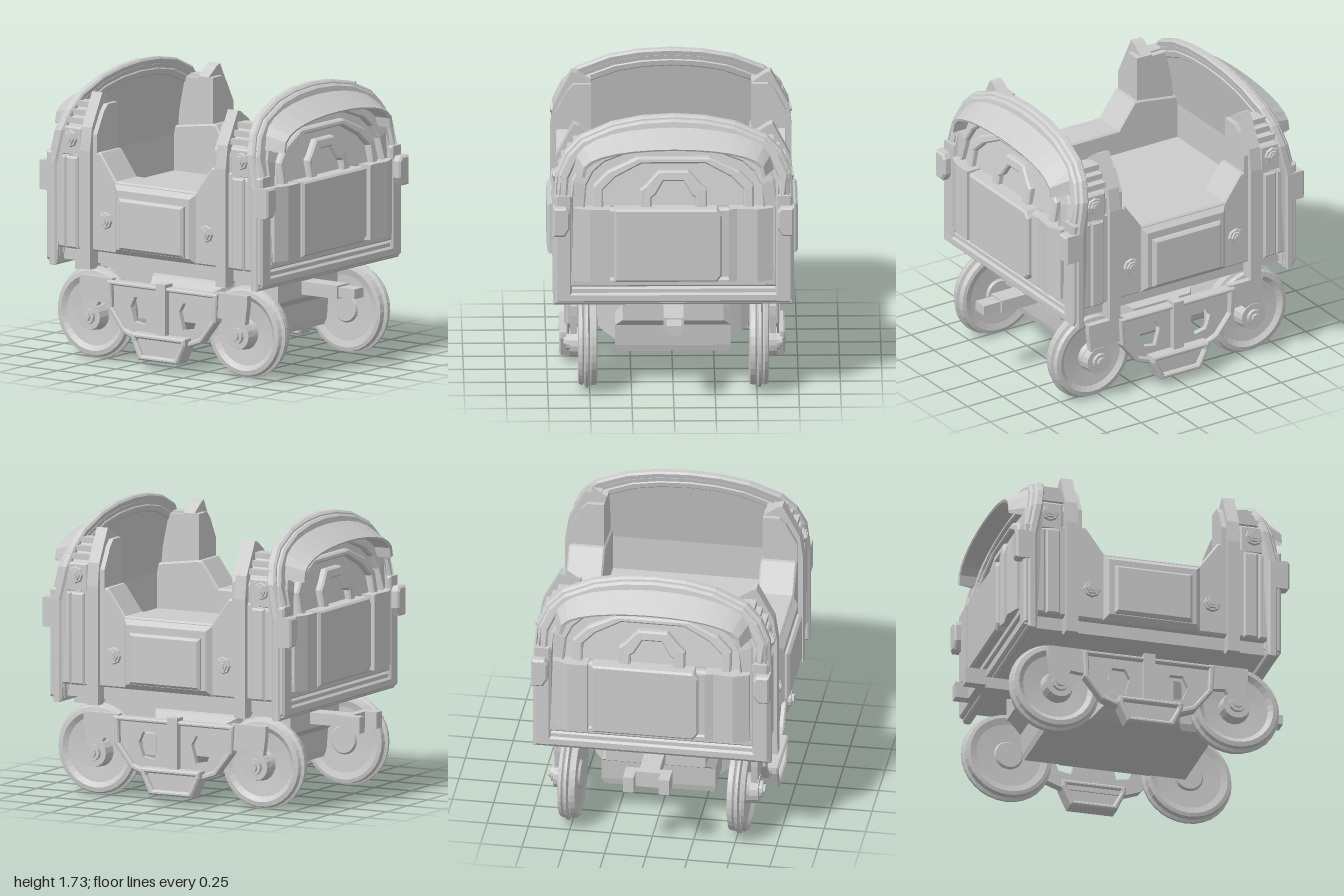
import * as THREE from 'three';

const mat = new THREE.MeshStandardMaterial({ color: 0xcccccc, flatShading: true });
const thin = new THREE.MeshStandardMaterial({ color: 0xcccccc, flatShading: true, side: THREE.DoubleSide });
const smooth = new THREE.MeshStandardMaterial({ color: 0xcccccc });

const mesh = (parent, name, geo, m = mat) => {
  const o = new THREE.Mesh(geo, m);
  o.name = name;
  parent.add(o);
  return o;
};
const box = (p, name, x0, x1, y0, y1, z0, z1) =>
  mesh(p, name, new THREE.BoxGeometry(x1 - x0, y1 - y0, z1 - z0).translate((x0 + x1) / 2, (y0 + y1) / 2, (z0 + z1) / 2));
const vecs = (pts) => pts.map(([a, b]) => new THREE.Vector2(a, b));
// Extrude an outline from a to b, with a small bevel kept inside those limits
function extrude(pts, a, b, holes = [], bevel = 0) {
  const s = new THREE.Shape(vecs(pts));
  s.holes = holes.map((h) => new THREE.Path(vecs(h)));
  return new THREE.ExtrudeGeometry(s, {
    depth: b - a - bevel, bevelEnabled: bevel > 0, bevelThickness: bevel, bevelSize: bevel, bevelOffset: -bevel, bevelSegments: 1,
  }).translate(0, 0, a);
}
// Outline in (z, y), from x0 to x1, chamfered on the outer face
const side = (p, name, pts, x0, x1, holes = [], bevel = 0) =>
  mesh(p, name, extrude(pts.map(([z, y]) => [-z, y]), x0, x1, holes.map((h) => h.map(([z, y]) => [-z, y])), bevel).rotateY(Math.PI / 2));
// Outline in (x, z), from y0 to y1
const plan = (p, name, pts, y0, y1) =>
  mesh(p, name, extrude(pts.map(([x, z]) => [x, -z]), y0, y1).rotateX(-Math.PI / 2));
const mirror = (pts) => [...pts, ...pts.filter(([x]) => x !== 0).map(([x, y]) => [-x, y]).reverse()];
const rect = (a, b, c, d) => [[a, c], [b, c], [b, d], [a, d]];

// The end walls lean inwards above the belt
const BELT = 1.2;
const leanZ = (y) => Math.max(0, y - BELT) * 0.21;
function lean(geo, s = 1) {
  const p = geo.attributes.position;
  for (let i = 0; i < p.count; i++) p.setZ(i, p.getZ(i) - s * leanZ(p.getY(i)));
  geo.computeVertexNormals();
  return geo;
}
const ARCH = [[0.72, BELT], [0.705, 1.4], [0.65, 1.52], [0.56, 1.61], [0.37, 1.69], [0.19, 1.724], [0, 1.735]];
const arch = (i, base) => mirror([[0.72, base], ...ARCH].map(([x, y], n) =>
  [x * (0.72 - i) / 0.72, n ? BELT + (y - BELT) * (0.535 - i) / 0.535 : base]));

// Open surface through rows of equal length
function loft(rows) {
  const n = rows[0].length, idx = [];
  for (let r = 0; r < rows.length - 1; r++)
    for (let c = 0; c < n - 1; c++) {
      const a = r * n + c, b = a + n;
      idx.push(a, b, a + 1, a + 1, b, b + 1);
    }
  const g = new THREE.BufferGeometry();
  g.setAttribute('position', new THREE.Float32BufferAttribute(rows.flat(2), 3));
  g.setIndex(idx);
  g.computeVertexNormals();
  return g;
}

function endWall() {
  const g = new THREE.Group();
  g.name = 'endWall';
  box(g, 'lowerWall', -0.68, 0.68, 0.6, BELT, 0.715, 0.755);
  mesh(g, 'upperWall', lean(extrude(arch(0.04, BELT).slice(1, -1), 0.715, 0.755)));
  // Stepped rim
  [[0, 0.06, 0.73, 0.775], [0.02, 0.08, 0.73, 0.8], [0.06, 0.115, 0.72, 0.785]].forEach(([o, i, z0, z1]) =>
    mesh(g, 'rim', lean(extrude(arch(o, 0.58 + o), z0, z1, [arch(i, 0.58 + i)], 0.012))));
  // Projecting hood over the arched panel
  const row = (w, y0, h, z) => Array.from({ length: 15 }, (_, k) => {
    const a = Math.PI * k / 14, y = y0 + h * Math.pow(Math.max(0, Math.sin(a)), 0.7);
    return [w * Math.cos(a), y, z ?? 0.785 - leanZ(y)];
  });
  mesh(g, 'hood', loft([row(0.6, 1.42, 0.26), row(0.55, 1.41, 0.17, 0.85), row(0.53, 1.4, 0.17, 0.845), row(0.53, 1.4, 0.17, 0.69)]), thin);
  // Concentric arched frames
  const frame = (w, top, base) => mirror([[w, base], [w, top - 0.2 * w - 0.07], [w * 0.82, top - 0.08], [w * 0.45, top], [0, top]]);
  const framed = (name, outer, hole) => mesh(g, name, lean(extrude(outer, 0.74, 0.795, [hole], 0.01)));
  framed('hoodFrame', arch(0.1, 0.7), arch(0.19, 0.75));
  framed('outerArchFrame', frame(0.48, 1.49, BELT - 0.04), frame(0.42, 1.455, BELT - 0.01));
  framed('innerArchFrame', frame(0.2, 1.41, BELT - 0.04), frame(0.13, 1.35, BELT - 0.01));
  // Belt panels
  mesh(g, 'centrePanel', extrude([[-0.355, 0.745], [0.26, 0.745], [0.29, 0.785], [0.29, 1.16], [0.26, 1.2], [-0.355, 1.2]], 0.74, 0.85, [], 0.012));
  plan(g, 'sidePanel', [[-0.595, 0.74], [-0.38, 0.74], [-0.38, 0.845], [-0.5, 0.845], [-0.595, 0.81]], 0.745, 1.2);
  plan(g, 'sidePanel', [[0.33, 0.74], [0.595, 0.74], [0.595, 0.81], [0.5, 0.845], [0.38, 0.83], [0.33, 0.845]], 0.745, 1.2);
  box(g, 'panelSeam', -0.4, 0.35, 0.77, 1.18, 0.74, 0.815);
  // Corner clasps
  [1, -1].forEach((s) => {
    const pts = [[0.62, 1.08], [0.65, 1.03], [0.72, 1.03], [0.72, 1.21], [0.64, 1.21], [0.62, 1.18]].map(([x, y]) => [s * x, y]);
    mesh(g, 'cornerClasp', extrude(pts, 0.76, 0.85, [], 0.012));
  });
  return g;
}

function bodySide() {
  const g = new THREE.Group();
  g.name = 'bodySide';
  side(g, 'sideWall', mirror([[0.74, 0.69], [0.74, 1.25], [0.45, 1.29], [0.41, 1.29], [0.295, 1.13]]), 0.48, 0.69, [], 0.01);
  side(g, 'bulge', rect(-0.305, 0.305, 0.69, 1.12), 0.6, 0.72, [], 0.035);
  side(g, 'bulgePanel', rect(-0.24, 0.24, 0.73, 1.04), 0.7, 0.75, [], 0.015);
  const corner = [[0.48, 0.7], [0.68, 0.7], [0.68, 1.38], [0.64, 1.46], [0.57, 1.56], [0.48, 1.56]];
  const lining = [[0.48, 0.7], [0.69, 0.7], [0.69, 1.4], [0.62, 1.53], [0.58, 1.57], [0.48, 1.57]];
  const post = [[0.48, 0.7], [0.66, 0.58], [0.72, 0.58], [0.72, 1.3], [0.7, 1.44], [0.595, 1.64], [0.565, 1.63], [0.48, 1.57]];
  [1, -1].forEach((s) => {
    const slab = (pts, a, b) => extrude(pts, Math.min(s * a, s * b), Math.max(s * a, s * b));
    mesh(g, 'post', slab(post, 0.465, 0.54));
    mesh(g, 'postLining', slab(lining, 0.435, 0.5));
    mesh(g, 'cornerBlock', lean(slab(corner, 0.54, 0.74), s));
    const strip = (name, a, b, y0, y1, x1) =>
      side(g, name, rect(Math.min(s * a, s * b), Math.max(s * a, s * b), y0, y1), 0.62, x1, [], 0.012);
    strip('uprightPanel', 0.57, 0.66, 0.69, 1.25, 0.705);
    strip('uprightPanel', 0.66, 0.725, 0.69, 1.25, 0.7);
    strip('cornerUpright', 0.72, 0.8, 0.61, 1.27, 0.71);
    side(g, 'upperPanel', [[s * 0.55, 1.25], [s * 0.765, 1.25], [s * 0.73, 1.43], [s * 0.55, 1.43]], 0.6, 0.69, [], 0.012);
    for (let k = 0; k < 3; k++) {
      const bar = box(g, 'louvre', 0.52, 0.67 - k * 0.035, 1.445 + k * 0.045, 1.48 + k * 0.045, -0.08, 0.08);
      bar.position.z = s * (0.62 - k * 0.01);
    }
    // Hexagonal bolts
    [[0.373, 0.885, 0.685], [0.633, 1.355, 0.685]].forEach(([z, y, x]) => {
      [[0.056, 0.018, 8], [0.042, 0.03, 6], [0.025, 0.038, 8]].forEach(([r, h, n]) =>
        mesh(g, 'bolt', new THREE.CylinderGeometry(r * 0.85, r, h, n).rotateZ(-Math.PI / 2).translate(x + h / 2, y, s * z)));
    });
  });
  return g;
}

function runningGear() {
  const g = new THREE.Group();
  g.name = 'runningGear';
  const tread = vecs([[0, 0.455], [0.08, 0.455], [0.09, 0.47], [0.2, 0.465], [0.24, 0.455], [0.262, 0.46], [0.268, 0.49], [0.255, 0.5],
    [0.28, 0.51], [0.28, 0.525], [0.255, 0.535], [0.268, 0.545], [0.258, 0.565], [0.23, 0.57], [0.2, 0.55], [0.09, 0.54], [0.08, 0.57], [0, 0.57]]);
  [1, -1].forEach((s) => {
    const w = new THREE.Group();
    w.name = 'wheel';
    w.position.set(0, 0.285, s * 0.56);
    g.add(w);
    // Lathe with each profile step kept sharp
    const lathe = new THREE.LatheGeometry(tread, 32).toNonIndexed();
    lathe.computeVertexNormals();
    mesh(w, 'wheelDisc', lathe.rotateZ(-Math.PI / 2), smooth);
    [[0.095, 0.62, 16], [0.055, 0.64, 12], [0.033, 0.655, 8]].forEach(([r, x, n]) =>
      mesh(w, 'hub', new THREE.CylinderGeometry(r * 0.9, r, x - 0.54, n).rotateZ(-Math.PI / 2).translate((x + 0.54) / 2, -0.01, s * -0.01)));
    side(g, 'hanger', [[s * 0.38, 0.52], [s * 0.62, 0.52], [s * 0.62, 0.46], [s * 0.6, 0.3], [s * 0.52, 0.3], [s * 0.48, 0.37], [s * 0.38, 0.36]], 0.575, 0.615);
  });
  // Side frame with a raised border and pierced plate
  const outline = mirror([[0.41, 0.51], [0.4, 0.34], [0.29, 0.2], [0.18, 0.16]]);
  const inner = mirror([[0.375, 0.485], [0.37, 0.35], [0.275, 0.23], [0.17, 0.19]]);
  const hex = (s) => [[0.11, 0.37], [0.14, 0.425], [0.22, 0.425], [0.25, 0.36], [0.22, 0.275], [0.14, 0.26]].map(([z, y]) => [s * z, y]);
  side(g, 'sideFramePlate', outline, 0.57, 0.605, [hex(1), hex(-1)]);
  side(g, 'sideFrameBorder', outline, 0.59, 0.635, [inner], 0.008);
  box(g, 'centreStrut', 0.57, 0.645, 0.16, 0.53, -0.035, 0.035);
  const step = mirror([[0.2, 0.22], [0.2, 0.18], [0.145, 0.06]]);
  side(g, 'stepBorder', step, 0.57, 0.675, [mirror([[0.165, 0.19], [0.165, 0.175], [0.12, 0.09]])], 0.01);
  side(g, 'stepPlate', step.map(([z, y]) => [z * 0.95, 0.14 + (y - 0.14) * 0.95]), 0.58, 0.645);
  // Tapered cheek on the side of the tank
  const section = (x, y0, y1, d) => [[x, y0, d], [x, y0, -d], [x, y1, -d], [x, y1, d], [x, y0, d]];
  mesh(g, 'tankCheek', loft([section(0.29, 0.2, 0.52, 0.3), section(0.34, 0.2, 0.51, 0.28), section(0.41, 0.24, 0.48, 0.24), section(0.46, 0.28, 0.46, 0.2), section(0.46, 0.37, 0.37, 0)]), thin);
  return g;
}

export function createModel() {
  const model = new THREE.Group();
  model.name = 'railCart';
  // Both ends and both sides repeat by a half turn
  [endWall(), bodySide(), runningGear()].forEach((part) => {
    const other = part.clone();
    other.rotation.y = Math.PI;
    model.add(part, other);
  });
  // Floor and undercarriage
  box(model, 'floor', -0.5, 0.5, 0.62, 0.98, -0.72, 0.72);
  box(model, 'underTray', -0.64, 0.64, 0.61, 0.7, -0.74, 0.74);
  box(model, 'chassisBeam', -0.3, 0.3, 0.43, 0.62, -0.62, 0.62);
  const ring = (x, y, z) => [[-x, y, z], [x, y, z], [x, y, -z], [-x, y, -z], [-x, y, z]];
  mesh(model, 'chassisTank', loft([ring(0, 0.2, 0), ring(0.33, 0.2, 0.5), ring(0.345, 0.24, 0.51), ring(0.345, 0.37, 0.52), ring(0.295, 0.435, 0.61)]), thin);
  // Couplings
  box(model, 'frontDrawbar', -0.06, 0.06, 0.45, 0.53, 0.6, 0.88);
  box(model, 'frontCouplingPin', -0.045, 0.045, 0.46, 0.52, 0.86, 1);
  box(model, 'rearDrawbar', -0.06, 0.06, 0.46, 0.53, -0.88, -0.6);
  plan(model, 'rearCouplingFork', [[-0.14, -0.87], [-0.14, -1], [-0.075, -1], [-0.075, -0.92], [0.075, -0.92], [0.075, -1], [0.14, -1], [0.14, -0.87]], 0.44, 0.54);
  return model;
}
